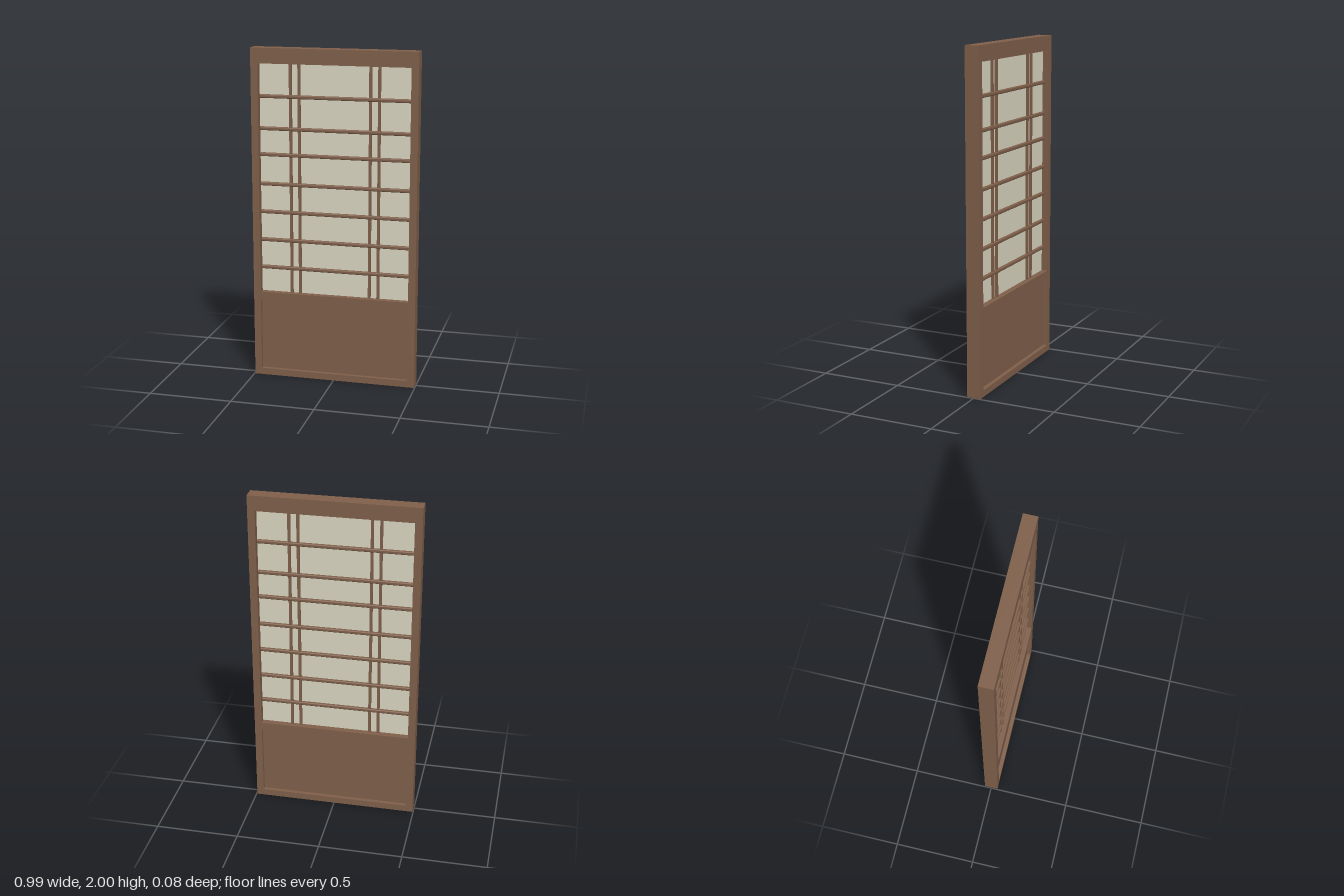
import * as THREE from 'three';
import { RoundedBoxGeometry } from 'three/addons/geometries/RoundedBoxGeometry.js';

const wood = new THREE.MeshStandardMaterial({ color: 0x80604a });
const paper = new THREE.MeshStandardMaterial({ color: 0xdcd7c3 });

function rect(path, x, y0, y1) {
  path.moveTo(-x, y0);
  path.lineTo(x, y0);
  path.lineTo(x, y1);
  path.lineTo(-x, y1);
  path.closePath();
  return path;
}

export function createModel() {
  const door = new THREE.Group();
  door.name = 'slidingScreenDoor';

  function add(name, geometry, material, x, y) {
    const mesh = new THREE.Mesh(geometry, material);
    mesh.name = name;
    mesh.position.set(x, y, 0);
    door.add(mesh);
  }

  const halfWidth = 0.495, inner = 0.452, depth = 0.084;
  const windowBottom = 0.53, windowTop = 1.91;
  const windowHeight = windowTop - windowBottom;
  const windowMid = (windowTop + windowBottom) / 2;

  // Outer frame with a tall window and a lower panel opening
  const outline = rect(new THREE.Shape(), halfWidth, 0, 2);
  outline.holes.push(rect(new THREE.Path(), inner, windowBottom, windowTop));
  outline.holes.push(rect(new THREE.Path(), inner, 0.04, 0.48));
  const frame = new THREE.ExtrudeGeometry(outline, { depth, bevelEnabled: false });
  frame.translate(0, 0, -depth / 2);
  add('frame', frame, wood, 0, 0);

  // Recessed lower panel and thin paper sheet
  add('lowerPanel', new THREE.BoxGeometry(inner * 2, 0.44, 0.036), wood, 0, 0.26);
  add('paperSheet', new THREE.BoxGeometry(inner * 2, windowHeight, 0.008), paper, 0, windowMid);

  // Paired upright bars, mirrored left and right, showing on both faces
  for (const side of [-1, 1]) {
    for (const x of [0.212, 0.264]) {
      add('uprightBar', new THREE.BoxGeometry(0.016, windowHeight, 0.032), wood, side * x, windowMid);
    }
  }

  // Softened cross bars standing slightly proud of the uprights
  const crossBar = new RoundedBoxGeometry(inner * 2, 0.021, 0.042, 2, 0.006);
  for (const y of [0.682, 0.853, 1.025, 1.195, 1.372, 1.527, 1.717]) {
    add('crossBar', crossBar, wood, 0, y);
  }

  return door;
}
